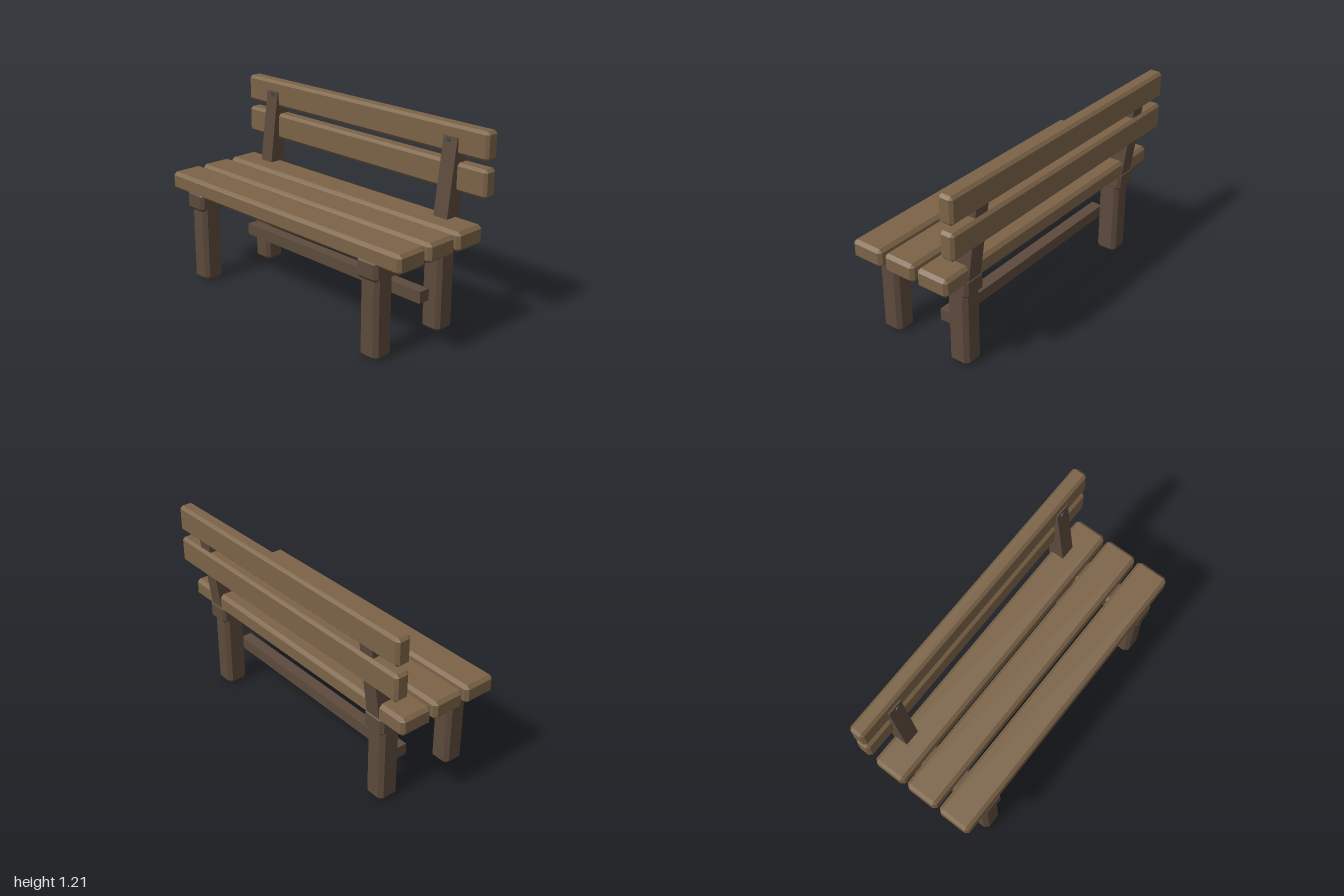
import * as THREE from 'three';
import { ConvexGeometry } from 'three/addons/geometries/ConvexGeometry.js';

const plankWood = new THREE.MeshStandardMaterial({ color: 0x7b6347 });
const frameWood = new THREE.MeshStandardMaterial({ color: 0x5c4a3c });
const metal = new THREE.MeshStandardMaterial({ color: 0x444a46 });

// Box with every edge and corner cut by c: the hull of its six inset faces
function chamferBox(w, h, d, c) {
  const half = [w / 2, h / 2, d / 2];
  const points = [];
  for (let axis = 0; axis < 3; axis++) {
    for (const sx of [-1, 1]) for (const sy of [-1, 1]) for (const sz of [-1, 1]) {
      const p = [sx, sy, sz].map((s, i) => s * (half[i] - (i === axis ? 0 : c)));
      points.push(new THREE.Vector3(...p));
    }
  }
  return new ConvexGeometry(points);
}

export function createModel() {
  const bench = new THREE.Group();
  bench.name = 'bench';

  const add = (name, geometry, material, x, y, z) => {
    const mesh = new THREE.Mesh(geometry, material);
    mesh.name = name;
    mesh.position.set(x, y, z);
    bench.add(mesh);
    return mesh;
  };

  // Seat planks
  const seatPlank = chamferBox(1.97, 0.115, 0.212, 0.02);
  [0.271, 0.035, -0.2].forEach((z) => add('seatPlank', seatPlank, plankWood, 0, 0.623, z));

  // Backrest planks
  const backPlank = chamferBox(2, 0.168, 0.094, 0.017);
  [0.912, 1.125].forEach((y) => add('backPlank', backPlank, plankWood, 0, y, -0.331));

  const leg = chamferBox(0.136, 0.55, 0.138, 0.024);
  const bearer = chamferBox(0.154, 0.125, 0.694, 0.02);
  const post = new THREE.BoxGeometry(0.1, 0.58, 0.104);
  const bolt = new THREE.CylinderGeometry(0.016, 0.016, 0.006, 10).rotateX(Math.PI / 2);

  for (const side of [-1, 1]) {
    const name = (part) => (side > 0 ? 'left' : 'right') + part;
    // Legs and the bearer across them
    add(name('FrontLeg'), leg, frameWood, side * 0.748, 0.275, 0.293);
    add(name('RearLeg'), leg, frameWood, side * 0.748, 0.275, -0.221);
    add(name('SeatBearer'), bearer, frameWood, side * 0.751, 0.537, 0.037);
    // Leaning backrest post with its bolt
    add(name('BackPost'), post, frameWood, side * 0.75, 0.847, -0.288).rotation.x = -0.132;
    add(name('PostBolt'), bolt, metal, side * 0.74, 1.124, -0.265);
  }

  // Stretcher between the leg pairs
  add('stretcher', new THREE.BoxGeometry(1.52, 0.074, 0.075), frameWood, 0, 0.238, -0.092);

  return bench;
}
